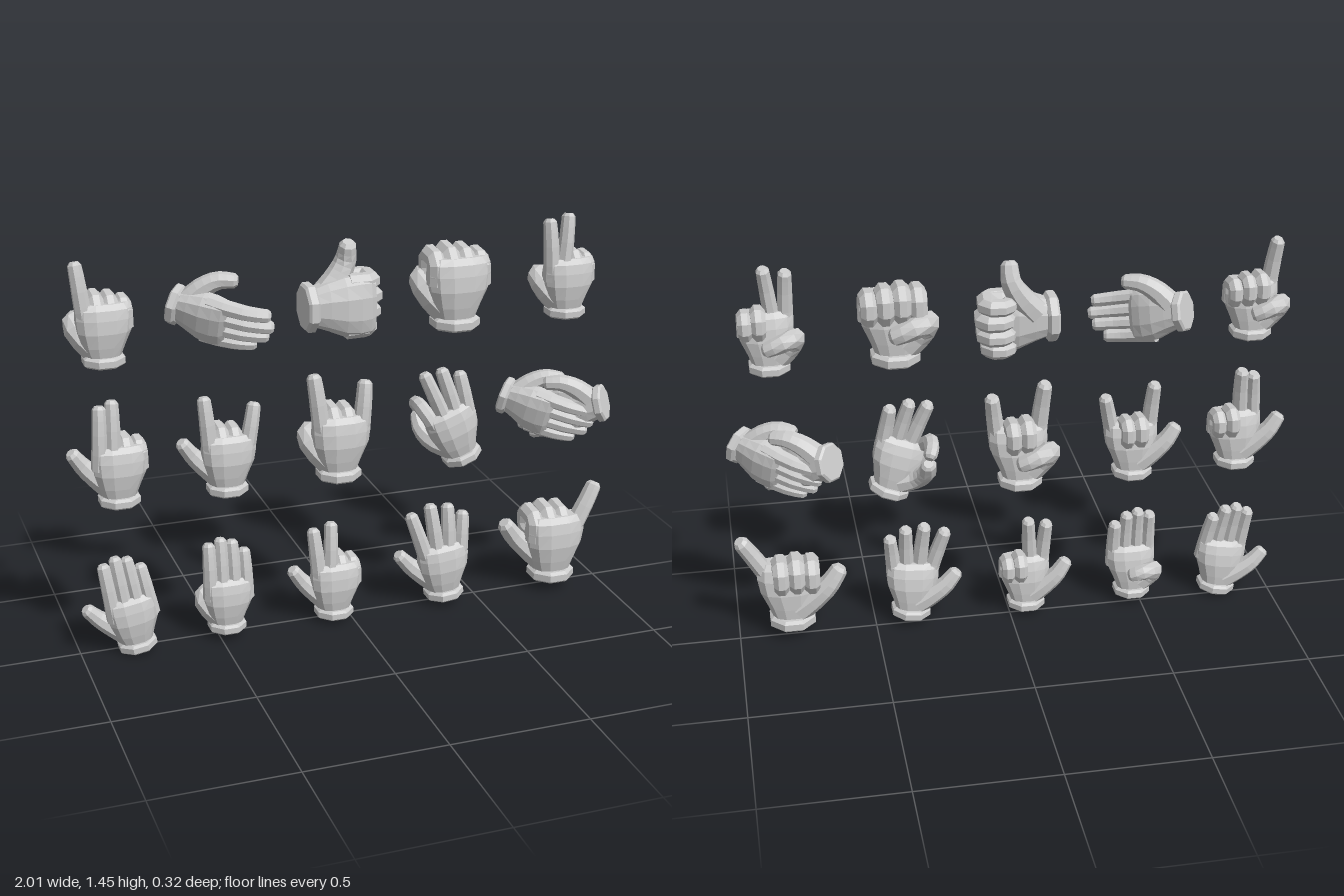
import * as THREE from 'three';

const material = new THREE.MeshStandardMaterial({ color: 0xcccccc, flatShading: true });
const V = (x, y, z) => new THREE.Vector3(x, y, z);
const rad = THREE.MathUtils.degToRad;

// Closed skin over a row of equal-sized rings, capped at both ends
function loft(rings, name) {
  const n = rings[0].length, pos = [], idx = [];
  rings.forEach(r => r.forEach(p => pos.push(p.x, p.y, p.z)));
  const centre = ring => {
    const c = V(0, 0, 0);
    ring.forEach(p => c.addScaledVector(p, 1 / n));
    return pos.push(c.x, c.y, c.z) / 3 - 1;
  };
  const last = (rings.length - 1) * n;
  const bottom = centre(rings[0]), top = centre(rings[rings.length - 1]);
  for (let i = 0; i < n; i++) {
    const k = (i + 1) % n;
    for (let o = 0; o < last; o += n) {
      idx.push(o + i, o + n + i, o + k, o + k, o + n + i, o + n + k);
    }
    idx.push(bottom, i, k, top, last + k, last + i);
  }
  const g = new THREE.BufferGeometry();
  g.setAttribute('position', new THREE.Float32BufferAttribute(pos, 3));
  g.setIndex(idx);
  g.computeVertexNormals();
  const mesh = new THREE.Mesh(g, material);
  mesh.name = name;
  return mesh;
}

// Horizontal ring; power below 1 makes it boxier
function flatRing(n, y, w, d, cx = 0, cz = 0, power = 1) {
  const soft = v => Math.sign(v) * Math.abs(v) ** power;
  return Array.from({ length: n }, (_, i) => {
    const a = ((i + 0.5) / n) * Math.PI * 2;
    return V(cx + w * soft(Math.cos(a)), y, cz + d * soft(Math.sin(a)));
  });
}

// Eight-sided limb along points with a blunt, rounded tip
function limb(points, radius, side, name) {
  const end = points.length - 1;
  const tip = points[end].clone().sub(points[end - 1]).normalize();
  const path = [...points, points[end].clone().addScaledVector(tip, 0.011)];
  const rings = path.map((p, i) => {
    const t = path[Math.min(i + 1, end + 1)].clone().sub(path[Math.max(i - 1, 0)]).normalize();
    const x = side.clone().addScaledVector(t, -side.dot(t)).normalize();
    const z = x.clone().cross(t);
    const r = i > end ? radius(1) * 0.65 : radius(i / end);
    return Array.from({ length: 8 }, (_, k) => {
      const a = ((k + 0.5) / 8) * Math.PI * 2;
      return p.clone().addScaledVector(x, Math.cos(a) * r).addScaledVector(z, Math.sin(a) * r * 1.12);
    });
  });
  return loft(rings, name);
}

// Knuckle x, knuckle y, length
const FINGERS = {
  indexFinger: [-0.063, 0.187, 0.155],
  middleFinger: [-0.017, 0.195, 0.163],
  ringFinger: [0.03, 0.19, 0.155],
  littleFinger: [0.075, 0.178, 0.128],
};

// Finger: a spread angle and three joint bends towards the palm
function finger(name, [spread, ...bends]) {
  const [x, y, length] = FINGERS[name];
  const turn = new THREE.Quaternion().setFromAxisAngle(V(0, 0, 1), -rad(spread));
  const p = V(0, -0.05, 0).applyQuaternion(turn).add(V(x, y, 0.012)), points = [p.clone()];
  let angle = 0;
  const step = d => {
    p.add(V(0, Math.cos(angle), -Math.sin(angle)).multiplyScalar(d).applyQuaternion(turn));
    points.push(p.clone());
  };
  step(0.058);
  [0.44, 0.32, 0.24].forEach((part, i) => {
    angle += rad(bends[i]) / 2;
    step(0.018);
    angle += rad(bends[i]) / 2;
    step(length * part - 0.018);
  });
  return limb(points, t => 0.03 - 0.006 * t, V(1, 0, 0).applyQuaternion(turn), name);
}

// Thumb paths from the heel of the palm to the tip
const THUMBS = {
  out: [[-0.025, 0.055, -0.01], [-0.072, 0.095, -0.022], [-0.115, 0.138, -0.03], [-0.15, 0.188, -0.026]],
  up: [[-0.025, 0.07, -0.012], [-0.075, 0.113, -0.022], [-0.125, 0.14, -0.025], [-0.174, 0.143, -0.012]],
  fist: [[-0.035, 0.055, -0.01], [-0.082, 0.11, -0.03], [-0.08, 0.138, -0.07], [-0.035, 0.13, -0.092], [0.01, 0.11, -0.083]],
  folded: [[-0.035, 0.055, -0.01], [-0.076, 0.1, -0.03], [-0.068, 0.125, -0.062], [-0.02, 0.125, -0.074], [0.015, 0.112, -0.064]],
  pinch: [[-0.03, 0.06, -0.01], [-0.075, 0.1, -0.036], [-0.09, 0.145, -0.076], [-0.075, 0.19, -0.11]],
  grip: [[-0.03, 0.06, -0.01], [-0.078, 0.095, -0.036], [-0.11, 0.14, -0.06], [-0.12, 0.195, -0.075]],
};

function thumb(kind) {
  const points = new THREE.CatmullRomCurve3(THUMBS[kind].map(p => V(...p))).getPoints(7);
  return limb(points, t => 0.044 - 0.018 * t, V(1, 1, 0).normalize(), 'thumb');
}

// Palm cross-sections: y, half width, half depth, centre x, centre z
const PALM = [
  [0.03, 0.059, 0.05, 0, 0], [0.07, 0.074, 0.056, 0, 0.003], [0.12, 0.092, 0.06, 0.004, 0.006],
  [0.165, 0.098, 0.054, 0.006, 0.008], [0.198, 0.096, 0.044, 0.006, 0.01], [0.216, 0.085, 0.028, 0.006, 0.01],
];
const CUFF = [[0, 0.067], [0.007, 0.075], [0.028, 0.075], [0.036, 0.064]];

function hand(name, thumbKind, fingers) {
  const g = new THREE.Group();
  g.name = name;
  g.add(loft(CUFF.map(([y, r]) => flatRing(8, y, r, r)), 'cuff'));
  g.add(loft(PALM.map(([y, w, d, cx, cz]) => flatRing(12, y, w, d, cx, cz, 0.8)), 'palm'));
  Object.keys(FINGERS).forEach((f, i) => g.add(finger(f, fingers[i])));
  g.add(thumb(thumbKind));
  return g;
}

// Finger poses
const curl = [0, 84, 92, 75];
const up = (spread = 0) => [spread, 4, 4, 3];
const relaxed = (spread = 0) => [spread, 7, 10, 8];
const fist = [curl, curl, curl, curl];
const reach = [relaxed(2), relaxed(1), relaxed(-1), relaxed(-2)];

// Name, thumb, fingers, position, scale, rotation in degrees (x, y, z)
const HANDS = [
  ['pointingHand', 'fist', [up(-6), curl, curl, curl], [-0.866, 1.07, 0], 1],
  ['reachingHand', 'grip', reach, [-0.6, 1.225, -0.11], 0.98, [16, -39, -104]],
  ['thumbsUpHand', 'up', fist, [-0.165, 1.195, 0], 1.18, [0, 0, -90]],
  ['fistHand', 'fist', fist, [0.4, 1.07, 0], 1.2],
  ['twoFingerHand', 'fist', [up(-2), up(7), curl, curl], [0.83, 1.07, 0], 1],
  ['fingersTogetherHand', 'out', [up(3), up(2), curl, curl], [-0.835, 0.56, 0], 1],
  ['loveSignHand', 'out', [up(-4), curl, curl, up(12)], [-0.45, 0.55, 0], 1],
  ['hornsHand', 'fist', [up(-6), curl, curl, up(7)], [-0.037, 0.55, 0], 1.1],
  ['okaySignHand', 'pinch', [[-8, 48, 50, 40], up(-2), up(4), up(10)], [0.445, 0.56, 0], 1, [0, 0, 21]],
  ['shakingHandLeft', 'grip', reach, [0.64, 0.75, -0.105], 0.94, [8, -41, -106]],
  ['shakingHandRight', 'grip', reach, [0.96, 0.75, 0.105], 0.94, [8, 139, -106]],
  ['flatHand', 'out', [up(1), up(1), up(-1), up(-2)], [-0.798, 0.012, 0.025], 0.96, [0, 0, 9]],
  ['fourFingerHand', 'folded', [up(0), up(0), up(-1), up(-1)], [-0.47, 0.03, 0.025], 0.94],
  ['threeHand', 'out', [up(-5), up(3), curl, curl], [-0.065, 0.02, 0.025], 0.97],
  ['spreadHand', 'out', [up(-12), up(-1), up(6), up(11)], [0.37, 0.028, 0.025], 1, [0, 0, 6]],
  ['hangLooseHand', 'out', [curl, curl, curl, up(30)], [0.805, 0.04, 0.025], 1.18],
];

export function createModel() {
  const model = new THREE.Group();
  model.name = 'handGestures';
  for (const [name, thumbKind, fingers, position, scale, turn = [0, 0, 0]] of HANDS) {
    const g = hand(name, thumbKind, fingers);
    g.position.set(...position);
    g.scale.setScalar(scale);
    g.rotation.set(...turn.map(rad), 'YXZ');
    model.add(g);
  }
  return model;
}
